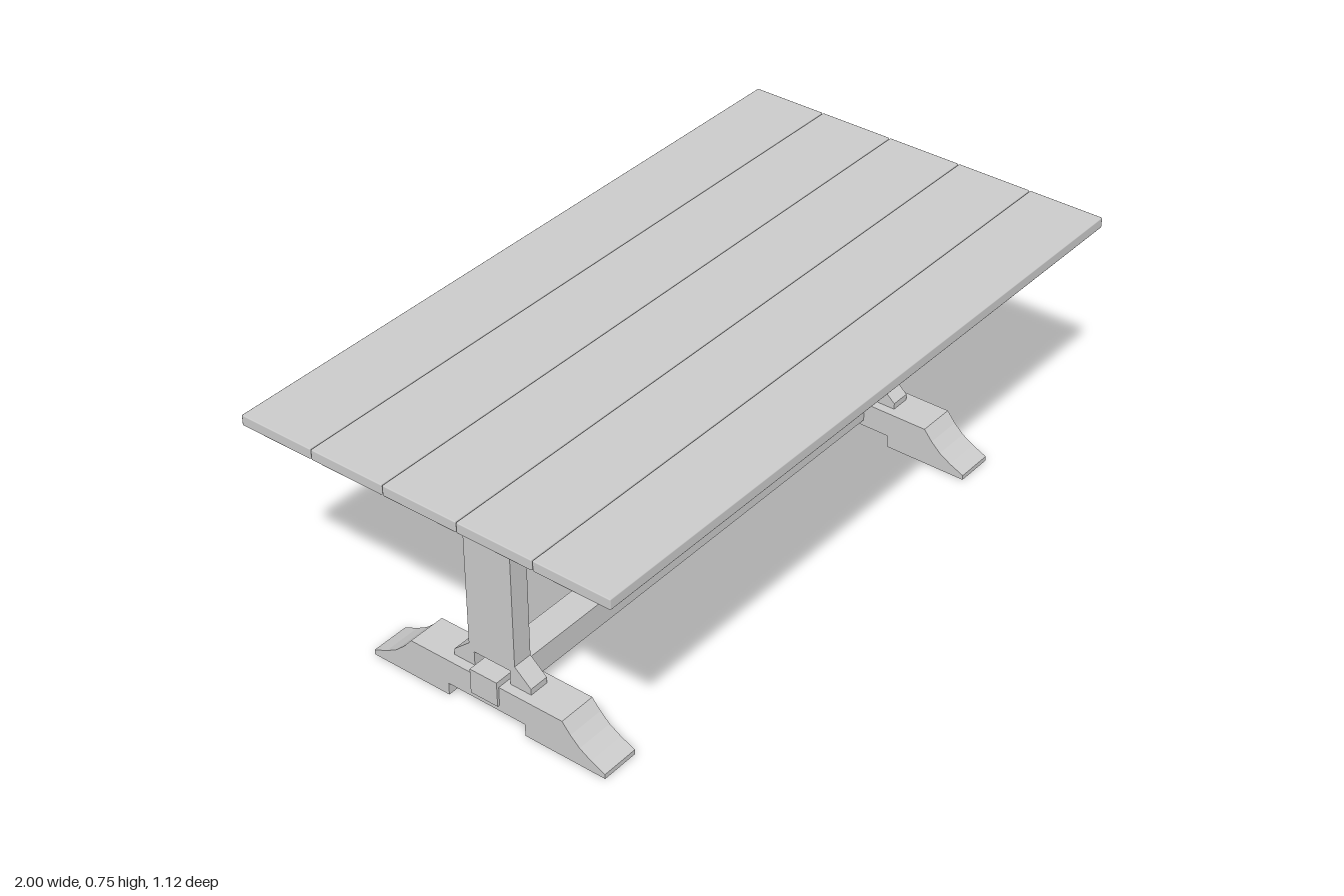
import * as THREE from 'three';
import { RoundedBoxGeometry } from 'three/addons/geometries/RoundedBoxGeometry.js';

const material = new THREE.MeshStandardMaterial({ color: 0xcccccc });
const openMaterial = new THREE.MeshStandardMaterial({ color: 0xcccccc, side: THREE.DoubleSide });

function add(parent, name, geometry, mat = material) {
  const mesh = new THREE.Mesh(geometry, mat);
  mesh.name = name;
  parent.add(mesh);
  return mesh;
}

// Mirrors a half outline of (z, y) points and extrudes it along x, centred.
function mirroredProfile(half, width) {
  const points = [...half, ...half.map(([z, y]) => [-z, y]).reverse()];
  const shape = new THREE.Shape(points.map(([z, y]) => new THREE.Vector2(z, y)));
  const geometry = new THREE.ExtrudeGeometry(shape, { depth: width, bevelEnabled: false });
  return geometry.translate(0, 0, -width / 2).rotateY(Math.PI / 2);
}

// Leaves a part hollow underneath by dropping the faces that point down.
function openUnderneath(geometry) {
  const source = geometry.index ? geometry.toNonIndexed() : geometry;
  const pos = source.attributes.position.array;
  const normal = source.attributes.normal;
  const kept = [];
  for (let i = 0; i < normal.count; i += 3) {
    if (normal.getY(i) > -0.9) kept.push(...pos.slice(i * 3, i * 3 + 9));
  }
  const result = new THREE.BufferGeometry();
  result.setAttribute('position', new THREE.Float32BufferAttribute(kept, 3));
  result.computeVertexNormals();
  return result;
}

export function createModel() {
  const table = new THREE.Group();
  table.name = 'trestleTable';

  // Top: five planks with narrow gaps
  const top = new THREE.Group();
  top.name = 'tableTop';
  table.add(top);
  for (let i = -2; i <= 2; i++) {
    add(top, 'plank', new RoundedBoxGeometry(2, 0.03, 0.221, 1, 0.003))
      .position.set(0, 0.738, i * 0.2235);
  }

  // Foot: flat middle, curved toes, raised bridge underneath
  const foot = openUnderneath(mirroredProfile([
    [0.123, 0.036], [0.123, 0], [0.372, 0], [0.372, 0.014], [0.33, 0.033],
    [0.295, 0.054], [0.267, 0.08], [0.242, 0.11],
  ], 0.112));

  // Post: flared base with a slot for the stretcher
  const post = mirroredProfile([
    [0.057, 0.152], [0.057, 0.11], [0.123, 0.11], [0.123, 0.128],
    [0.073, 0.172], [0.073, 0.724],
  ], 0.058);

  for (const side of [-1, 1]) {
    const trestle = new THREE.Group();
    trestle.name = side > 0 ? 'leftTrestle' : 'rightTrestle';
    trestle.position.x = side * 0.757;
    add(trestle, 'foot', foot, openMaterial);
    add(trestle, 'post', post);
    table.add(trestle);
  }

  // Stretcher running through both trestles
  const stretcher = openUnderneath(new THREE.BoxGeometry(1.64, 0.074, 0.086));
  add(table, 'stretcher', stretcher, openMaterial).position.y = 0.091;

  return table;
}
